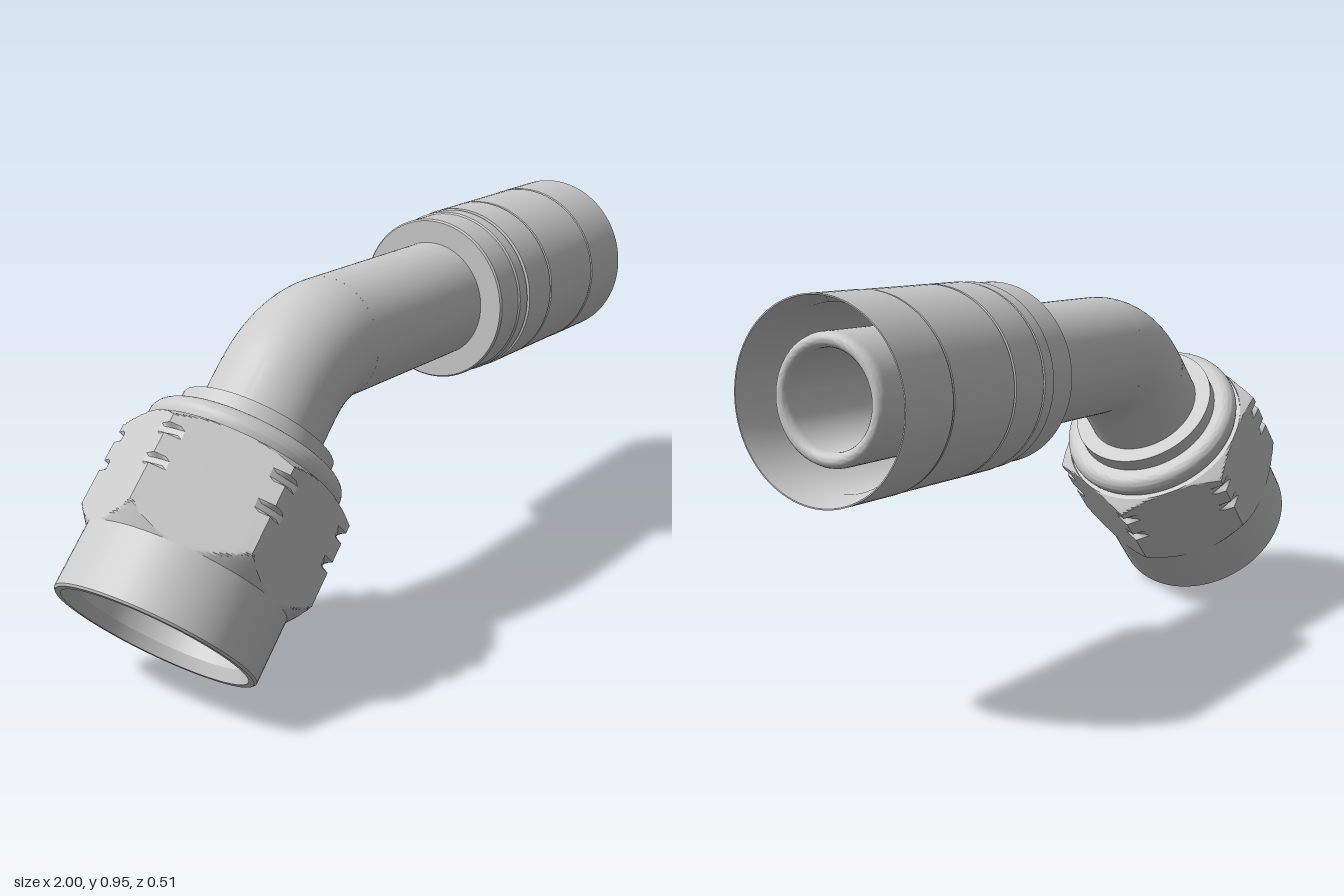
import * as THREE from 'three';
import { toCreasedNormals } from 'three/addons/utils/BufferGeometryUtils.js';

const mat = new THREE.MeshStandardMaterial({ color: 0xcccccc, side: THREE.DoubleSide });
const AXIS_Y = 0.733;   // height of the straight pipe
const BEND = 0.28;      // bend radius
const PIPE = 0.155, BORE = 0.11;
const FLAT = 0.255;     // hex centre to flat

function mesh(name, geo, parent) {
  const m = new THREE.Mesh(geo, mat);
  m.name = name;
  parent.add(m);
  return m;
}

// Turned part: profile given as [radius, distance along axis]
function turned(name, profile, parent) {
  const pts = profile.map(([r, s]) => new THREE.Vector2(r, s));
  return mesh(name, toCreasedNormals(new THREE.LatheGeometry(pts, 96), 0.5), parent);
}

// Hexagon trimmed by the chamfer cones, with two grooves cut over each corner
function hexGeometry() {
  const rows = [];
  for (let i = 0; i <= 10; i++) rows.push([0.165 + i * 0.005, 0.2555 + i * 0.004]);
  for (const s of [0.317, 0.394]) {
    rows.push([s - 0.014, 0.3], [s - 0.007, 0.276], [s + 0.007, 0.276], [s + 0.014, 0.3]);
  }
  for (let i = 0; i <= 6; i++) rows.push([0.428 + i * 0.004, 0.296 - i * 0.0067]);
  const N = 144;
  const geo = new THREE.LatheGeometry(rows.map(([r, s]) => new THREE.Vector2(s, r)), N);
  const pos = geo.attributes.position;
  for (let c = 0; c <= N; c++) {
    const a = (c / N) * Math.PI * 2;
    const local = (a + Math.PI / 6) % (Math.PI / 3) - Math.PI / 6;
    const hex = FLAT / Math.cos(local);
    rows.forEach(([s, limit], j) => {
      const r = Math.min(hex, limit);
      // angle 0 points to +z, so a flat faces the front
      pos.setXYZ(c * rows.length + j, r * Math.sin(a), s, r * Math.cos(a));
    });
  }
  return toCreasedNormals(geo, 0.4);
}

export function createModel() {
  const model = new THREE.Group();
  model.name = 'angledHoseFitting';

  // Straight end, its axis running along +x
  const straight = new THREE.Group();
  straight.name = 'straightEnd';
  straight.rotation.z = -Math.PI / 2;
  straight.position.y = AXIS_Y;
  model.add(straight);
  turned('straightPipe', [[PIPE, -0.15], [PIPE, 0.42]], straight);

  // Crimped sleeve with shallow grooves and a flared mouth
  turned('crimpSleeve', [
    [PIPE, 0.33], [0.214, 0.33], [0.218, 0.335], [0.218, 0.42], [0.222, 0.424],
    [0.222, 0.462], [0.216, 0.464], [0.216, 0.47], [0.224, 0.472],
    [0.224, 0.587], [0.219, 0.589], [0.219, 0.593], [0.224, 0.595],
    [0.224, 0.826], [0.222, 0.828], [0.222, 0.831], [0.225, 0.833],
    [0.225, 1], [0.222, 1], [0.203, 0.93], [0.203, 0.42], [0.14, 0.42],
  ], straight);

  // Inner hose stem with a rounded tip, hollow to the bend
  const tip = [];
  for (let i = 0; i <= 10; i++) {
    const a = (i / 10) * Math.PI;
    tip.push([0.1275 + 0.0175 * Math.cos(a), 0.95 + 0.022 * Math.sin(a)]);
  }
  turned('hoseStem', [[0.145, 0.4], ...tip, [BORE, -0.15]], straight);

  // 45 degree bend, outside and bore
  for (const [name, r] of [['bendOuter', PIPE], ['bendBore', BORE]]) {
    const bend = mesh(name, new THREE.TorusGeometry(BEND, r, 64, 24, Math.PI / 4), model);
    bend.rotation.z = Math.PI / 2;
    bend.position.set(-0.15, AXIS_Y - BEND, 0);
  }

  // Nut end, its axis rising at 45 degrees from the open mouth
  const nutEnd = new THREE.Group();
  nutEnd.name = 'nutEnd';
  nutEnd.rotation.z = -Math.PI / 4;
  nutEnd.position.set(-0.82, 0.18, 0);
  model.add(nutEnd);
  turned('angledPipe', [
    [PIPE, 0.667], [PIPE, 0.5], [0.2, 0.28], [0.2, 0.25], [BORE, 0.25], [BORE, 0.667],
  ], nutEnd);
  turned('pipeCollar', [[PIPE, 0.51], [0.198, 0.51], [0.198, 0.55], [PIPE, 0.55]], nutEnd);

  // Plain skirt and threaded-side bore of the nut
  turned('nutSkirt', [
    [0.2, 0.3], [0.217, 0.3], [0.217, 0.03], [0.236, 0], [0.25, 0], [FLAT, 0.005], [FLAT, 0.17],
  ], nutEnd);
  mesh('nutHex', hexGeometry(), nutEnd);

  // Rounded shoulder behind the hexagon
  const shoulder = [[FLAT, 0.45], [0.236, 0.451]];
  for (let i = 0; i <= 12; i++) {
    const a = -0.6 + (i / 12) * (Math.PI / 2 + 0.6);
    shoulder.push([0.216 + 0.034 * Math.cos(a), 0.474 + 0.034 * Math.sin(a)]);
  }
  shoulder.push([PIPE, 0.508]);
  turned('nutShoulder', shoulder, nutEnd);

  return model;
}
